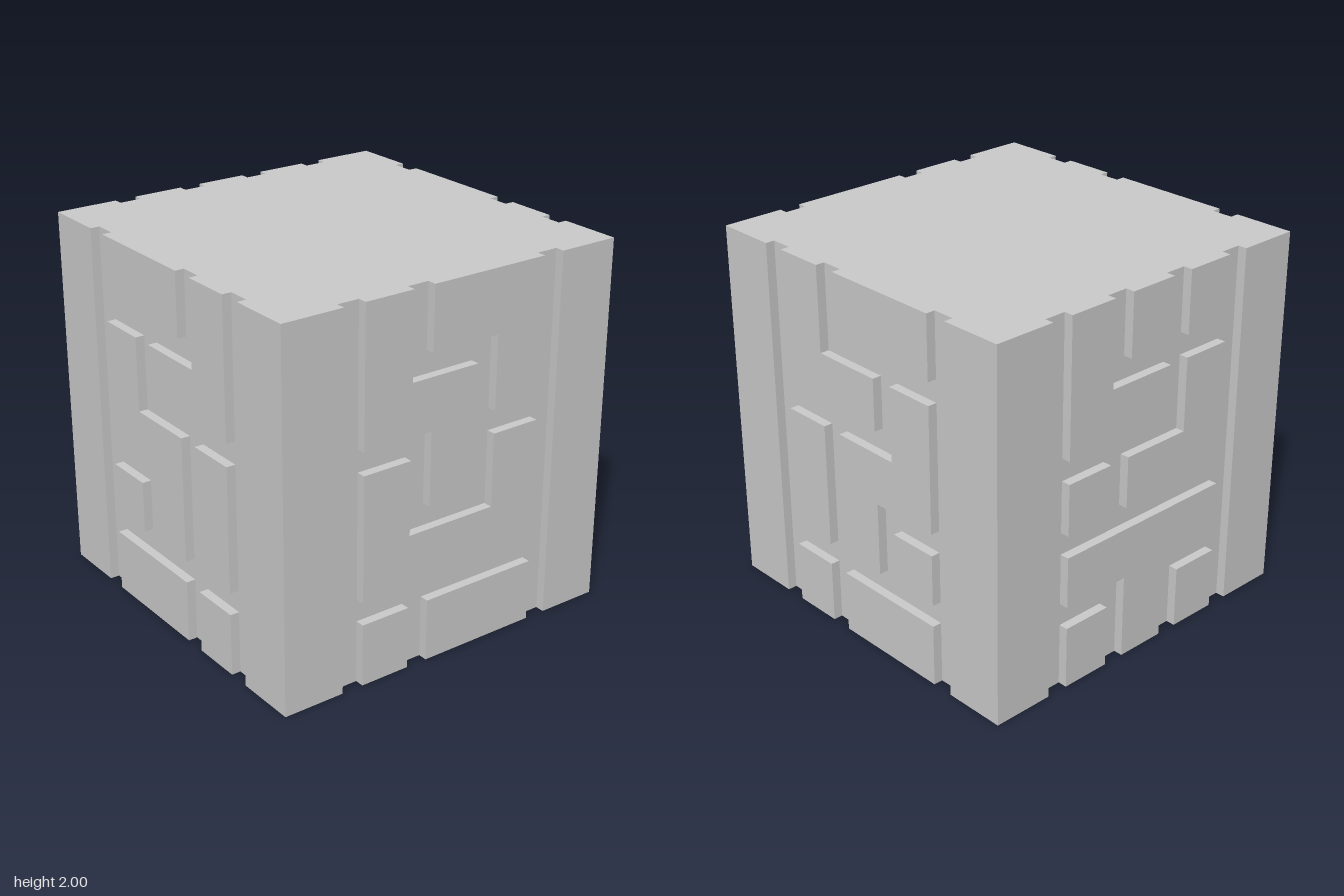
import * as THREE from 'three';

const DEPTH = 0.05;
const FLOOR = 1 - DEPTH;
const material = new THREE.MeshStandardMaterial({ color: 0xcccccc, flatShading: true });

// Panel edges lie on a fixed grid; an outline corner is two digits: column, row
const U = [-0.54, -0.26, -0.14, 0.14, 0.26, 0.54];
const V = [0, 0.34, 0.46, 0.74, 0.86, 1.14, 1.26, 1.54, 1.66, 2];

const frontPanels = [
  '09 06 26 24 34 37 17 19',
  '29 28 48 46 56 59',
  '05 02 52 55 45 43 13 15',
  '00 10 11 01',
  '20 50 51 21',
];
const sidePanels = [
  '09 06 36 37 17 19',
  '28 58 59 29',
  '22 32 34 54 57 47 45 25',
  '02 12 15 05',
  '42 52 53 43',
  '00 10 11 01',
  '20 50 51 21',
];
const backPanels = [
  '09 06 36 37 17 19',
  '28 38 39 29',
  '48 58 59 49',
  '24 54 57 47 45 25',
  '04 14 15 05',
  '20 30 32 52 53 03 02 22',
  '00 10 11 01',
  '40 50 51 41',
];

function extrude(points, depth) {
  return new THREE.ExtrudeGeometry(new THREE.Shape(points), { depth, bevelEnabled: false });
}

// Raised panels of one face, turned into place about the vertical axis
function makeFace(name, outlines, angle, mirror = false) {
  const face = new THREE.Group();
  face.name = name;
  for (const outline of outlines) {
    const points = outline.split(' ').map(([u, v]) =>
      new THREE.Vector2(mirror ? -U[u] : U[u], V[v]));
    const panel = new THREE.Mesh(extrude(points, DEPTH), material);
    panel.name = 'raisedPanel';
    panel.position.z = FLOOR;
    face.add(panel);
  }
  face.rotation.y = angle;
  return face;
}

export function createModel() {
  const model = new THREE.Group();
  model.name = 'groovedCube';

  // Core with four corner posts: one side of the plan, repeated by quarter turns
  const side = [[-1, -1], [-0.66, -1], [-0.66, -FLOOR], [0.66, -FLOOR], [0.66, -1]];
  const plan = [];
  for (let i = 0; i < 4; i++) {
    for (const [x, y] of side) {
      plan.push(new THREE.Vector2(x, y).rotateAround(new THREE.Vector2(), i * Math.PI / 2));
    }
  }
  const core = new THREE.Mesh(extrude(plan, 2).rotateX(-Math.PI / 2), material);
  core.name = 'coreWithCornerPosts';
  model.add(core);

  // Four patterned faces
  model.add(
    makeFace('frontFace', frontPanels, 0),
    makeFace('plusXFace', sidePanels, Math.PI / 2),
    makeFace('backFace', backPanels, Math.PI),
    makeFace('minusXFace', sidePanels, -Math.PI / 2, true),
  );
  return model;
}
